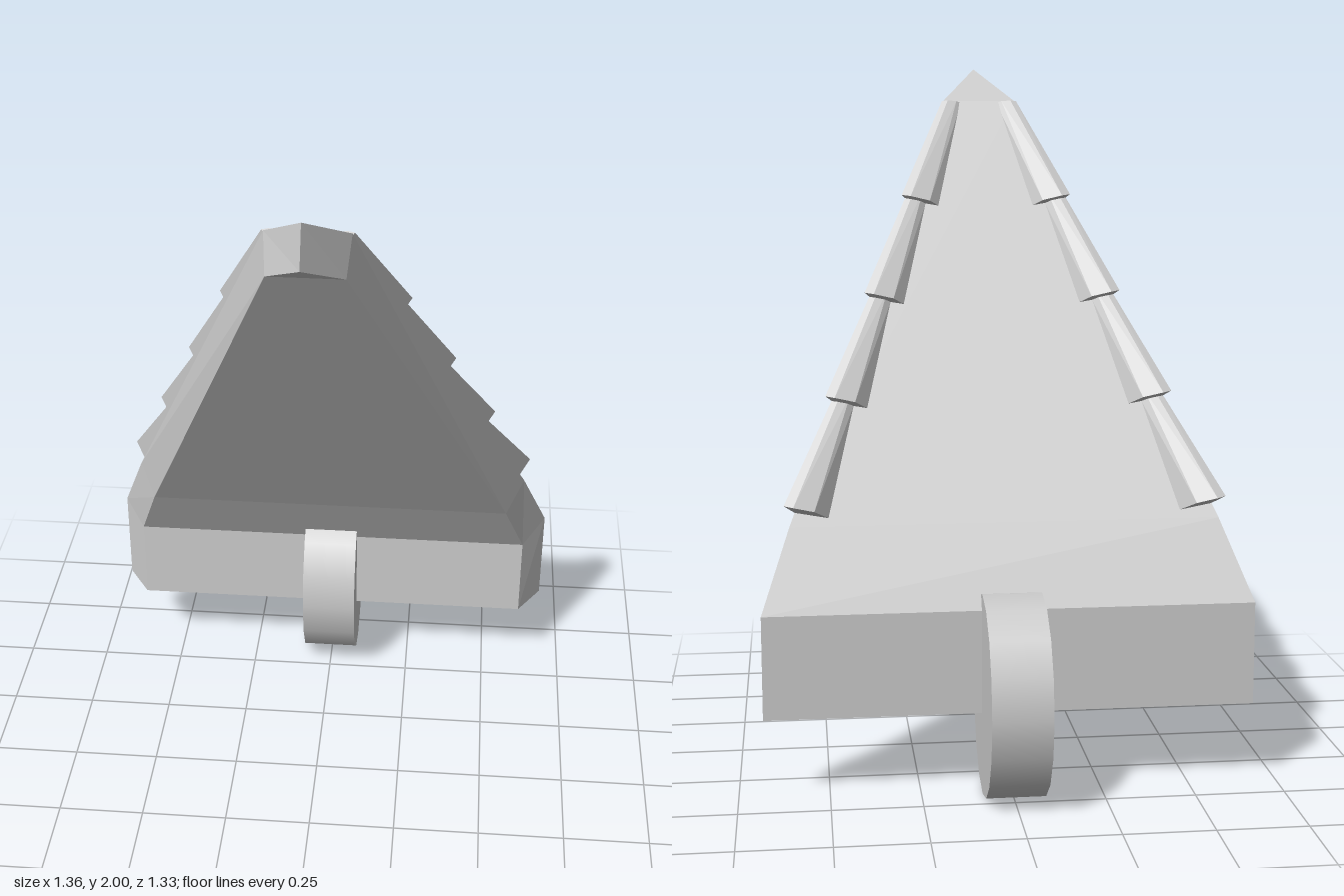
import * as THREE from 'three';
import { ConvexGeometry } from 'three/addons/geometries/ConvexGeometry.js';

const material = new THREE.MeshStandardMaterial({ color: 0xcccccc, flatShading: true });
const smooth = new THREE.MeshStandardMaterial({ color: 0xcccccc });

// Half width of the triangular plate's upper surface at depth z
const edgeX = (z) => Math.max(0, 0.663 * (0.615 - z));

// Bent plate: rows of rectangular sections from the foot to the tip
function plateGeometry() {
  // back [y, z], front [y, z, half width]
  const rows = [
    [[0.23, -0.41], [0.23, -0.303, 0.61]],
    [[0.52, -0.41], [0.48, -0.31, 0.61]],
    [[0.737, -0.29], [0.67, -0.2, 0.547]],
    [[1.9, 0.45], [1.81, 0.52, 0.1]],
    [[2.0, 0.615], [1.895, 0.66, 0]],
  ];
  const rings = rows.map(([[by, bz], [fy, fz, fx]]) => {
    const bx = edgeX(bz);
    return [[-fx, fy, fz], [fx, fy, fz], [bx, by, bz], [-bx, by, bz]];
  });
  const pos = [];
  const quad = (a, b, c, d) => pos.push(...a, ...b, ...c, ...a, ...c, ...d);
  for (let r = 0; r < rings.length - 1; r++) {
    for (let i = 0; i < 4; i++) {
      const j = (i + 1) % 4;
      quad(rings[r][i], rings[r][j], rings[r + 1][j], rings[r + 1][i]);
    }
  }
  const [a, b, c, d] = rings[0];
  quad(d, c, b, a);
  const g = new THREE.BufferGeometry();
  g.setAttribute('position', new THREE.Float32BufferAttribute(pos, 3));
  g.computeVertexNormals();
  return g;
}

// Point on the sloping back: s down the slope, h above it, inset from the side edge
function onSlope(side, s, h, inset) {
  const y = 1.9 - 0.844 * s + 0.536 * h;
  const z = 0.45 - 0.536 * s - 0.844 * h;
  return new THREE.Vector3(side * (edgeX(z) - inset), y, z);
}

// Wedge-shaped scale, thin at the top and raised at the lower end
function scaleGeometry(side, i) {
  const top = Math.max(0.005, 0.328 * i);
  const low = 0.351 + 0.328 * i;
  const peak = 0.033 + 0.007 * i;
  const lift = i ? 0.012 : 0.006;
  return new ConvexGeometry([
    onSlope(side, top, -0.004, 0),
    onSlope(side, top, lift, 0),
    onSlope(side, top, lift + 0.004, 0.02),
    onSlope(side, top, lift, 0.045),
    onSlope(side, top, -0.004, 0.055),
    onSlope(side, low, -0.004, 0),
    onSlope(side, low, peak, 0),
    onSlope(side, low + 0.01, peak + 0.01, 0.035),
    onSlope(side, low + 0.018, peak - 0.003, 0.088),
    onSlope(side, low + 0.018, -0.004, 0.1),
  ]);
}

export function createModel() {
  const model = new THREE.Group();
  const add = (name, geometry, mat = material) => {
    const mesh = new THREE.Mesh(geometry, mat);
    mesh.name = name;
    model.add(mesh);
    return mesh;
  };

  add('plate', plateGeometry());

  // Four overlapping scales along each edge
  for (const side of [1, -1]) {
    for (let i = 0; i < 4; i++) {
      add(`${side > 0 ? 'left' : 'right'}Scale${i + 1}`, scaleGeometry(side, i));
    }
  }

  // Slightly oval hinge disc through the foot of the plate
  const disc = new THREE.CylinderGeometry(1, 1, 0.164, 16);
  disc.rotateZ(Math.PI / 2).scale(1, 0.283, 0.243);
  add('hingeDisc', disc, smooth).position.set(0, 0.286, -0.423);

  return model;
}
